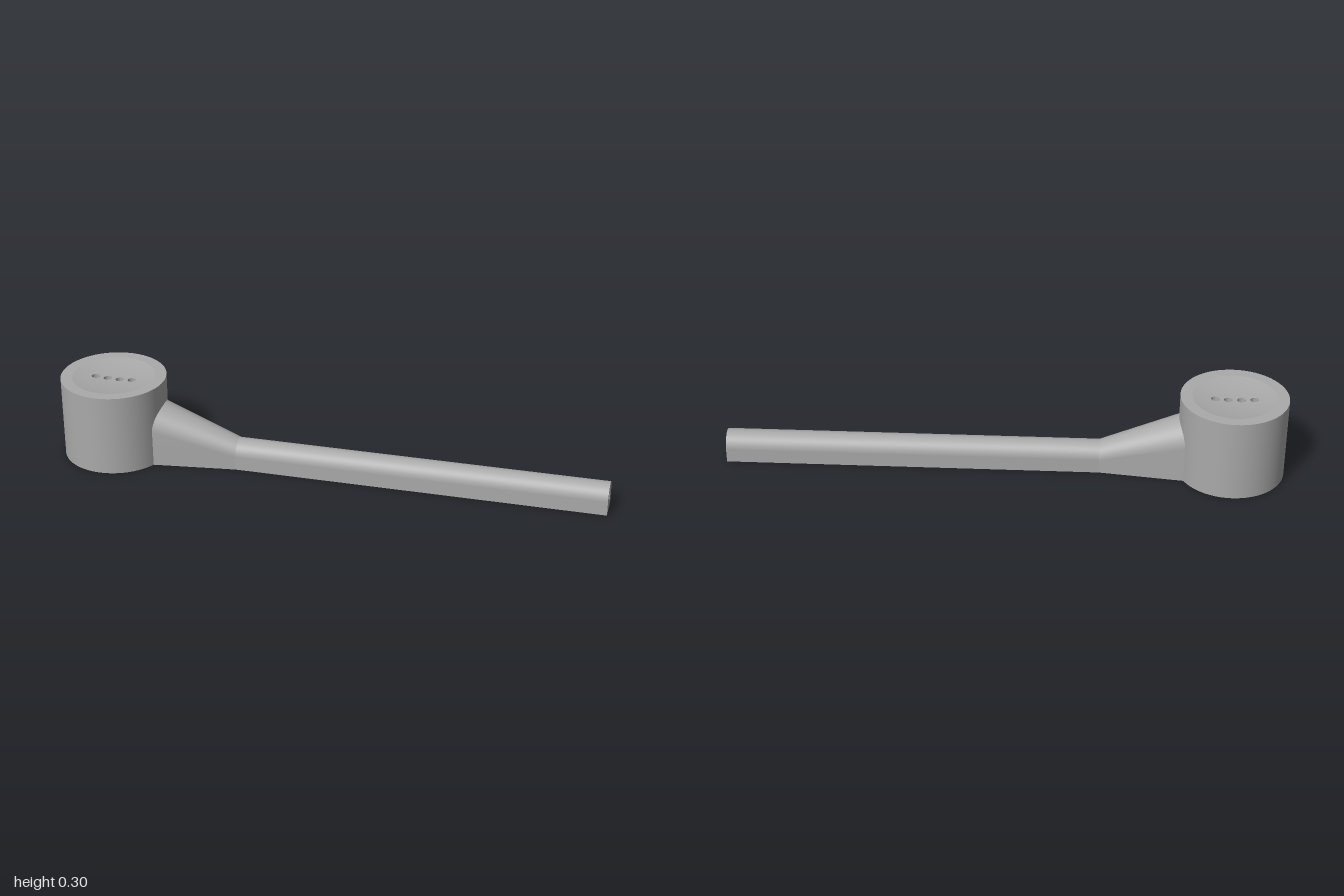
import * as THREE from 'three';
import { mergeGeometries } from 'three/addons/utils/BufferGeometryUtils.js';

const HEAD_X = -0.809, HEAD_R = 0.191, HEAD_H = 0.3;
const DISH_R = 0.15, DISH_DEPTH = 0.014;
const HOLE_R = 0.015, HOLE_GAP = 0.046;
const BORE_R = 0.013, BORE_Y = 0.052;

const grey = new THREE.MeshStandardMaterial({ color: 0xaaaaaa, side: THREE.DoubleSide });
grey.name = 'grey';

function part(name, geometry, parent) {
  const mesh = new THREE.Mesh(geometry, grey);
  mesh.name = name;
  parent.add(mesh);
  return mesh;
}

function grid(positions, rows, cols) {
  const index = [];
  for (let r = 0; r < rows - 1; r++) for (let c = 0; c < cols - 1; c++) {
    const a = r * cols + c, b = a + cols;
    index.push(a, b, b + 1, a, b + 1, a + 1);
  }
  const g = new THREE.BufferGeometry();
  g.setAttribute('position', new THREE.Float32BufferAttribute(positions, 3));
  g.setIndex(index);
  g.computeVertexNormals();
  return g;
}

// Lathe whose profile segments each keep their own normals, for sharp edges
function crispLathe(profile) {
  const pieces = [];
  for (let i = 0; i < profile.length - 1; i++) {
    const pts = [profile[i], profile[i + 1]].map(([r, y]) => new THREE.Vector2(r, y));
    pieces.push(new THREE.LatheGeometry(pts, 72));
  }
  return mergeGeometries(pieces);
}

const dishY = r => HEAD_H - DISH_DEPTH * (1 - (r / DISH_R) ** 2);

// One strip of the concave dish, running from a small hole out to the strip's borders
function dishCell(cx, hasLeft, hasRight) {
  const half = HOLE_GAP / 2, angles = [];
  for (let i = 0; i <= 48; i++) angles.push(i / 48 * Math.PI * 2);
  for (const [on, side] of [[hasLeft, -half], [hasRight, half]]) {
    if (!on) continue;
    const a = Math.atan2(Math.sqrt(DISH_R ** 2 - (cx + side) ** 2), side);
    angles.push(a, Math.PI * 2 - a);
  }
  angles.sort((a, b) => a - b);
  const positions = [], normals = [], rows = 7;
  for (let r = 0; r < rows; r++) for (const a of angles) {
    const ux = Math.cos(a), uz = -Math.sin(a);
    let reach = -cx * ux + Math.sqrt(DISH_R ** 2 - cx * cx * (1 - ux * ux));
    if (hasRight && ux > 1e-6) reach = Math.min(reach, half / ux);
    if (hasLeft && ux < -1e-6) reach = Math.min(reach, -half / ux);
    const d = HOLE_R + (reach - HOLE_R) * r / (rows - 1);
    const x = cx + ux * d, z = uz * d, k = 2 * DISH_DEPTH / DISH_R ** 2;
    positions.push(x, dishY(Math.hypot(x, z)), z);
    const n = new THREE.Vector3(-k * x, 1, -k * z).normalize();
    normals.push(n.x, n.y, n.z);
  }
  const g = grid(positions, rows, angles.length);
  g.setAttribute('normal', new THREE.Float32BufferAttribute(normals, 3));
  return g;
}

// Arched cross-section: straight sides with an elliptical top
function archPoints({ half, side, top }) {
  const pts = [[half, 0]];
  for (let i = 0; i <= 32; i++) {
    const a = i / 32 * Math.PI;
    pts.push([half * Math.cos(a), side + (top - side) * Math.sin(a)]);
  }
  pts.push([-half, 0]);
  return pts;
}

// Skin between two arched sections, plus the flat underside
function archSpan(outer, inner) {
  const positions = [];
  for (const s of [inner, outer]) for (const [z, y] of archPoints(s)) positions.push(s.x, y, z);
  const shell = grid(positions, 2, archPoints(outer).length);
  const under = grid([inner.x, 0, -inner.half, inner.x, 0, inner.half,
    outer.x, 0, -outer.half, outer.x, 0, outer.half], 2, 2);
  return mergeGeometries([shell, under]);
}

export function createModel() {
  const model = new THREE.Group();
  model.name = 'model';

  // Round head with a blind bore in its underside
  const head = new THREE.Group();
  head.name = 'head';
  head.position.x = HEAD_X;
  model.add(head);
  part('headBody', crispLathe([[0, 0.2], [0.045, 0.2], [0.045, 0], [HEAD_R, 0],
    [HEAD_R, HEAD_H], [DISH_R - 0.001, HEAD_H]]), head);

  // Concave top with a row of four small holes
  for (let i = 0; i < 4; i++) {
    const cx = (i - 1.5) * HOLE_GAP;
    part('dish', dishCell(cx, i > 0, i < 3), head);
    const top = dishY(Math.abs(cx)), floor = 0.24;
    const wall = new THREE.CylinderGeometry(HOLE_R, HOLE_R, top - floor, 32, 1, true);
    part('holeWall', wall, head).position.set(cx, (top + floor) / 2, 0);
    const base = new THREE.CircleGeometry(HOLE_R, 32).rotateX(-Math.PI / 2);
    part('holeFloor', base, head).position.set(cx, floor, 0);
  }

  // Handle and the flared neck that runs into the head
  const tip = { x: 1, half: 0.051, side: 0.051, top: 0.102 };
  const bend = { ...tip, x: -0.34 };
  const root = { x: -0.66, half: 0.0915, side: 0.137, top: 0.228 };
  part('handle', archSpan(tip, bend), model);
  part('neck', archSpan(bend, root), model);

  // Handle end face with the bore opening
  const face = new THREE.Shape(archPoints(tip).map(([z, y]) => new THREE.Vector2(z, y)));
  face.holes.push(new THREE.Path().absarc(0, BORE_Y, BORE_R, 0, Math.PI * 2, true));
  const end = new THREE.ShapeGeometry(face, 32).rotateY(Math.PI / 2);
  part('handleEnd', end, model).position.x = 1;

  // Bore along the handle, closed by a concave wall
  const boreEnd = -0.6;
  const bore = new THREE.CylinderGeometry(BORE_R, BORE_R, 1 - boreEnd, 32, 1, true).rotateZ(Math.PI / 2);
  part('bore', bore, model).position.set((1 + boreEnd) / 2, BORE_Y, 0);
  const stop = new THREE.CylinderGeometry(0.045, 0.045, 0.03, 12, 1, true, Math.PI * 1.5 - 0.32, 0.64);
  part('boreStop', stop, model).position.set(boreEnd + 0.045, BORE_Y, 0);

  return model;
}
